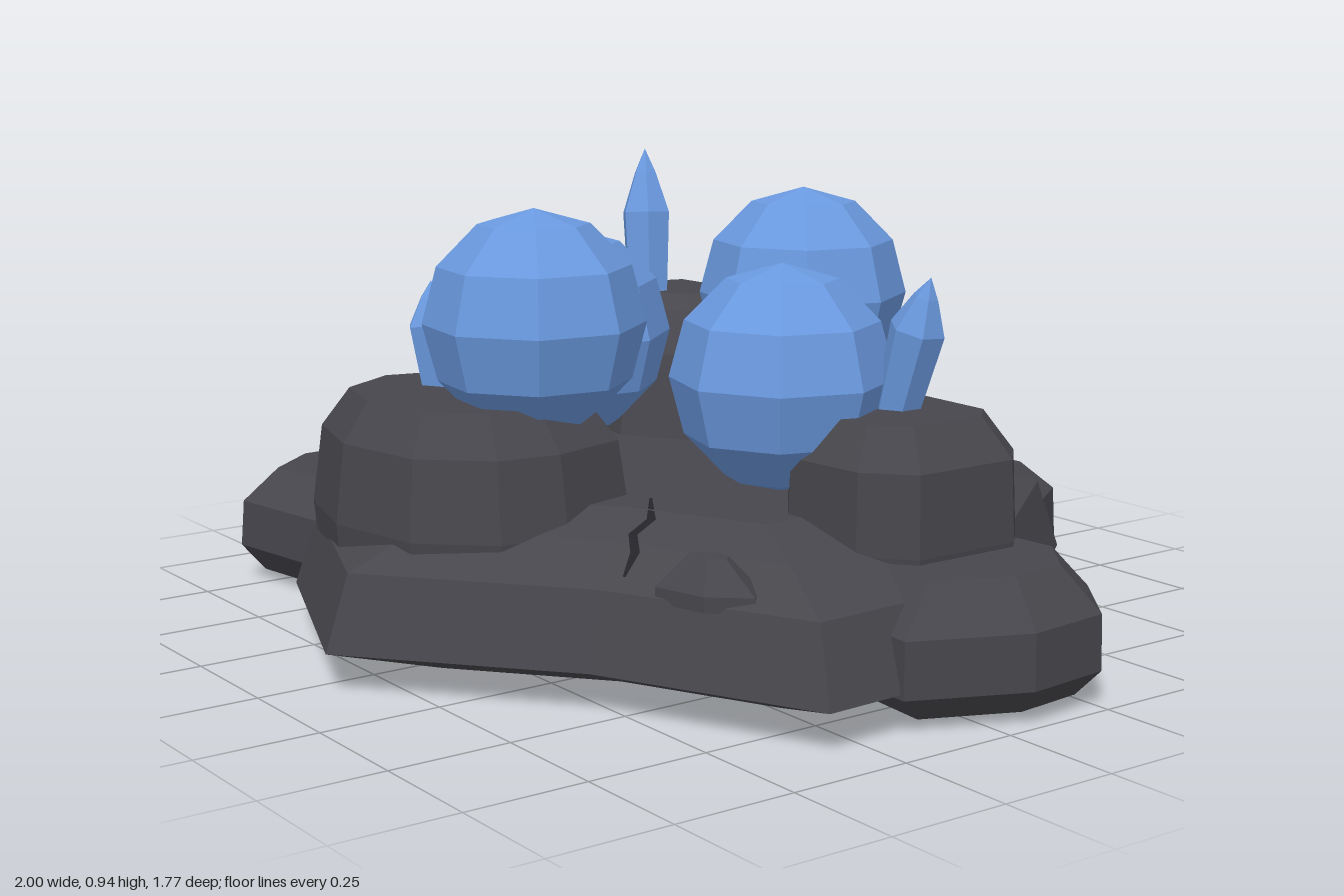
import * as THREE from 'three';

const mat = (name, color, extra = {}) => {
  const m = new THREE.MeshStandardMaterial({ color, flatShading: true, ...extra });
  m.name = name;
  return m;
};

// Stacks scaled copies of an [x, z] outline at given heights and closes both ends.
// levels: [y, scale]; the outline shrinks towards (cx, cz).
function loft(outline, levels, cx, cz) {
  const n = outline.length, pos = [], idx = [];
  for (const [y, s] of levels)
    for (const [x, z] of outline) pos.push(cx + (x - cx) * s, y, cz + (z - cz) * s);
  for (let l = 0; l < levels.length - 1; l++)
    for (let i = 0; i < n; i++) {
      const a = l * n + i, b = l * n + (i + 1) % n;
      idx.push(a, a + n, b + n, a, b + n, b);
    }
  const bottom = pos.length / 3, top = bottom + 1, last = (levels.length - 1) * n;
  pos.push(cx, levels[0][0], cz, cx, levels.at(-1)[0], cz);
  for (let i = 0; i < n; i++) {
    const j = (i + 1) % n;
    idx.push(bottom, i, j, top, last + j, last + i);
  }
  const g = new THREE.BufferGeometry();
  g.setAttribute('position', new THREE.Float32BufferAttribute(pos, 3));
  g.setIndex(idx);
  g.computeVertexNormals();
  return g;
}

// Flat zigzag ribbon through [x, y, z] points, tapering at both ends
function ribbon(points, width) {
  const pos = [], idx = [];
  points.forEach(([x, y, z], i) => {
    const a = points[Math.max(i - 1, 0)], b = points[Math.min(i + 1, points.length - 1)];
    const dx = b[0] - a[0], dz = b[2] - a[2], len = Math.hypot(dx, dz);
    const w = (i === 0 || i === points.length - 1 ? 0.3 : 1) * width / 2;
    const ox = -dz / len * w, oz = dx / len * w;
    pos.push(x + ox, y + 0.007, z + oz, x - ox, y + 0.007, z - oz);
    if (i) idx.push(2 * i - 2, 2 * i, 2 * i - 1, 2 * i - 1, 2 * i, 2 * i + 1);
  });
  const g = new THREE.BufferGeometry();
  g.setAttribute('position', new THREE.Float32BufferAttribute(pos, 3));
  g.setIndex(idx);
  g.computeVertexNormals();
  return g;
}

export function createModel() {
  const group = new THREE.Group();
  const stone = mat('dark stone', 0x47464c);
  const blue = mat('blue crystal', 0x6a99df);
  const crackMat = mat('crack shadow', 0x242328, { side: THREE.DoubleSide });
  const add = (name, geo, material) => {
    const m = new THREE.Mesh(geo, material);
    m.name = name;
    group.add(m);
    return m;
  };

  // Ground slab
  add('baseSlab', loft(
    [[-1, -0.04], [-0.74, -0.47], [-0.2, -0.55], [0.28, -0.83], [0.65, -0.36], [0.88, -0.1], [0.9, 0.34],
      [0.46, 0.55], [0.06, 0.885], [-0.44, 0.69], [-0.52, 0.57], [-0.82, 0.25]],
    [[0, 0.7], [0.08, 1], [0.23, 0.94], [0.29, 0.76], [0.33, 0.6]], 0, 0), stone);

  // Low rocks around the rim
  const rimLevels = [[0.02, 0.8], [0.08, 1], [0.18, 0.97], [0.25, 0.66]];
  add('leftRimRock', loft(
    [[-0.96, 0.3], [-0.88, 0.17], [-0.74, 0.15], [-0.58, 0.24], [-0.48, 0.42], [-0.46, 0.57],
      [-0.54, 0.6], [-0.8, 0.64], [-0.95, 0.46]], rimLevels, -0.72, 0.4), stone);
  add('rightRimRock', loft(
    [[0.58, -0.2], [0.65, -0.36], [0.82, -0.375], [0.98, -0.25], [1, -0.06], [0.9, 0.17], [0.66, 0.15]],
    [[0.02, 0.8], [0.07, 1], [0.18, 0.99], [0.27, 0.66]], 0.79, -0.1), stone);
  add('backRimRock', loft(
    [[-0.24, -0.55], [-0.18, -0.82], [0, -0.87], [0.21, -0.89], [0.3, -0.76], [0.24, -0.5], [0, -0.42]],
    [[0.02, 0.85], [0.07, 1], [0.19, 0.98], [0.25, 0.72]], 0.03, -0.66), stone);

  // Boulders holding the crystals
  add('frontBoulder', loft(
    [[-0.43, 0.53], [-0.38, 0.33], [-0.25, 0.25], [0.02, 0.22], [0.19, 0.27], [0.24, 0.45], [0.22, 0.59],
      [0.1, 0.72], [-0.12, 0.76], [-0.33, 0.7]],
    [[0.22, 0.98], [0.28, 1], [0.44, 0.93], [0.52, 0.74]], -0.08, 0.49), stone);
  add('backLeftBoulder', loft(
    [[-0.68, -0.3], [-0.64, -0.46], [-0.44, -0.48], [-0.29, -0.55], [-0.2, -0.5], [-0.12, -0.35],
      [-0.14, -0.14], [-0.3, -0.04], [-0.45, -0.06], [-0.66, -0.14]],
    [[0.22, 1], [0.3, 1], [0.51, 0.82], [0.6, 0.6], [0.63, 0.4]], -0.4, -0.29), stone);
  add('rightBoulder', loft(
    [[0.33, -0.23], [0.47, -0.29], [0.7, -0.29], [0.77, -0.22], [0.77, 0.02], [0.68, 0.1], [0.5, 0.12], [0.35, 0]],
    [[0.22, 0.97], [0.28, 1], [0.44, 0.97], [0.52, 0.72]], 0.56, -0.09), stone);

  // Pebbles lying on the slab
  add('leftPebble', loft(
    [[-0.71, 0.28], [-0.64, 0.21], [-0.54, 0.22], [-0.52, 0.35], [-0.58, 0.39], [-0.7, 0.36]],
    [[0.2, 1], [0.26, 1], [0.31, 0.45]], -0.62, 0.3), stone);
  add('rightPebble', loft(
    [[0.49, 0.4], [0.56, 0.32], [0.66, 0.31], [0.71, 0.36], [0.65, 0.43], [0.54, 0.46]],
    [[0.22, 1], [0.25, 1], [0.31, 0.4]], 0.6, 0.385), stone);

  // Faceted orbs
  const orb = new THREE.SphereGeometry(0.222, 8, 6);
  [['frontOrb', 0.05, 0.67, 0.4, 0.25], ['backOrb', 0.01, 0.665, -0.31, 0.15],
    ['leftOrb', -0.335, 0.57, 0.065, 0.3], ['rightOrb', 0.38, 0.57, 0.04, 0.1]]
    .forEach(([name, x, y, z, turn]) => {
      const m = add(name, orb, blue);
      m.position.set(x, y, z);
      m.rotation.y = turn;
      m.scale.y = 1.02;
    });

  // Pointed shards, each leaning from its foot to its tip
  const up = new THREE.Vector3(0, 1, 0);
  [['backShard', [-0.395, 0.5, -0.19], [-0.45, 0.945, -0.22], 0.057],
    ['rightShard', [0.53, 0.46, -0.11], [0.62, 0.78, -0.13], 0.056],
    ['frontShard', [-0.19, 0.46, 0.46], [-0.215, 0.73, 0.48], 0.062]]
    .forEach(([name, foot, tip, r]) => {
      const a = new THREE.Vector3(...foot), d = new THREE.Vector3(...tip).sub(a), h = d.length();
      const profile = [[0.75, 0], [1, 0.68], [0.45, 0.88], [0, 1]].map(([s, t]) => new THREE.Vector2(s * r, t * h));
      const m = add(name, new THREE.LatheGeometry(profile, 6), blue);
      m.position.copy(a);
      m.quaternion.setFromUnitVectors(up, d.normalize());
    });

  // Cracks in the slab
  add('frontCrack', ribbon(
    [[0.26, 0.33, 0.27], [0.36, 0.317, 0.34], [0.37, 0.297, 0.39], [0.42, 0.277, 0.42], [0.47, 0.25, 0.48]], 0.018), crackMat);
  add('backCrack', ribbon(
    [[0.13, 0.28, -0.62], [0.09, 0.3, -0.55], [0.12, 0.322, -0.51], [0.08, 0.33, -0.44]], 0.018), crackMat);

  return group;
}
